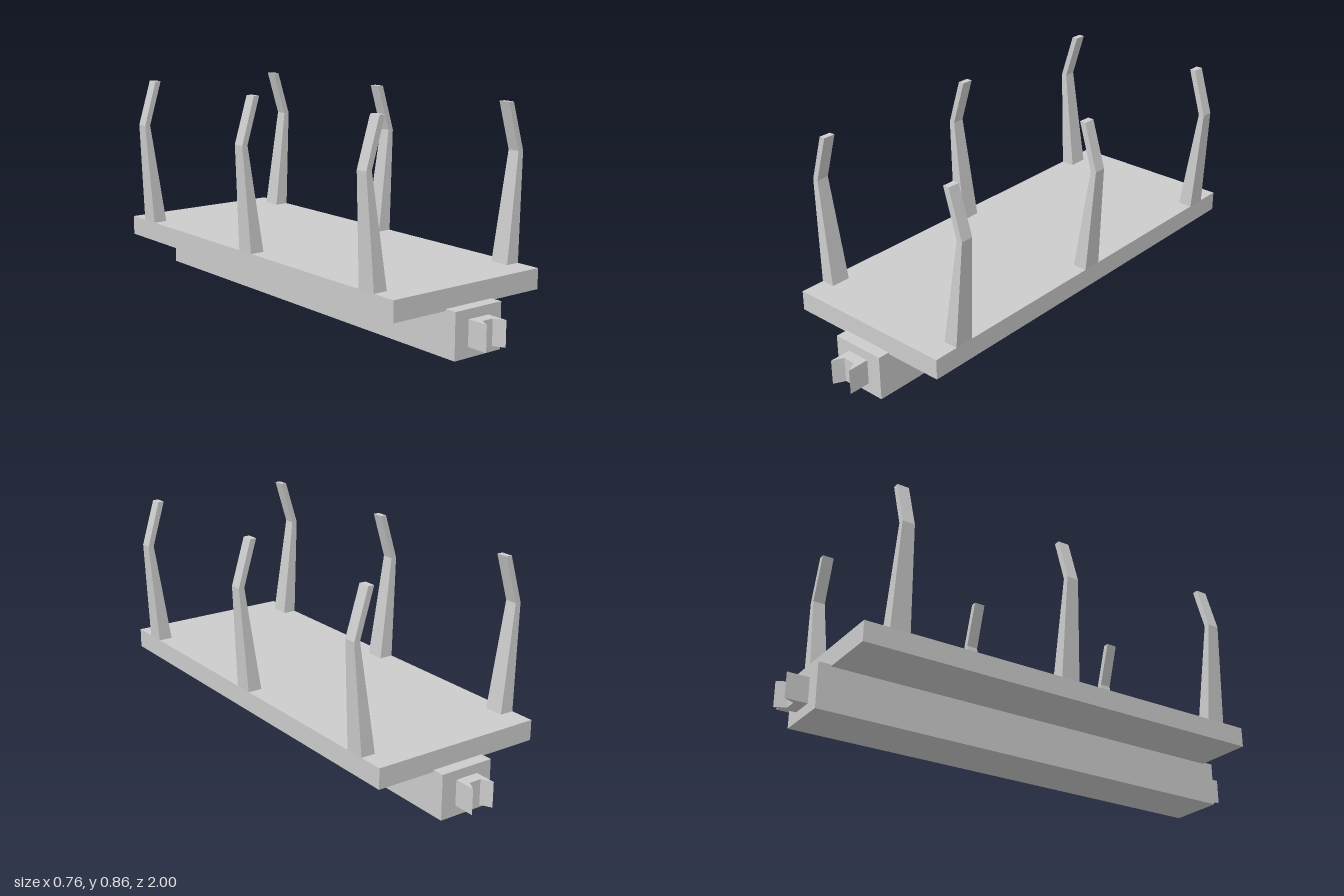
import * as THREE from 'three';

const material = new THREE.MeshStandardMaterial({ color: 0xcccccc, flatShading: true });

function addMesh(parent, name, geometry) {
  const mesh = new THREE.Mesh(geometry, material);
  mesh.name = name;
  parent.add(mesh);
  return mesh;
}

// Box given by half width, half length and its bottom and top heights
function slab(halfX, halfZ, y0, y1) {
  return new THREE.BoxGeometry(halfX * 2, y1 - y0, halfZ * 2).translate(0, (y0 + y1) / 2, 0);
}

// Tapered stake that leans out, then bends inward
function stakeGeometry() {
  const rings = [
    { y: 0.25, inner: 0.295, outer: 0.353, halfZ: 0.04 },
    { y: 0.67, inner: 0.354, outer: 0.378, halfZ: 0.025 },
    { y: 0.855, inner: 0.297, outer: 0.322, halfZ: 0.024 },
  ];
  const geometry = new THREE.BoxGeometry(2, 2, 2, 1, 2, 1);
  const p = geometry.attributes.position;
  for (let i = 0; i < p.count; i++) {
    const r = rings[Math.round(p.getY(i)) + 1];
    p.setXYZ(i, p.getX(i) > 0 ? r.outer : r.inner, r.y, p.getZ(i) * r.halfZ);
  }
  geometry.computeVertexNormals();
  return geometry;
}

// Coupler block with a flared notch in its end
function couplerGeometry() {
  const outline = [
    [-0.048, 0.9], [0.048, 0.9], [0.048, 1], [0.025, 0.957], [-0.025, 0.957], [-0.048, 1],
  ].map(([x, z]) => new THREE.Vector2(x, z));
  return new THREE.ExtrudeGeometry(new THREE.Shape(outline), { depth: 0.1, bevelEnabled: false })
    .rotateX(Math.PI / 2)
    .translate(0, 0.14, 0);
}

export function createModel() {
  const model = new THREE.Group();
  model.name = 'stakeWagon';

  addMesh(model, 'deck', slab(0.353, 0.865, 0.17, 0.25));
  addMesh(model, 'centreBeam', slab(0.112, 0.913, 0, 0.177));

  // Couplers at both ends
  const coupler = couplerGeometry();
  addMesh(model, 'frontCoupler', coupler);
  addMesh(model, 'backCoupler', coupler).rotation.y = Math.PI;

  // Three pairs of stakes along the sides
  const stake = stakeGeometry();
  for (const [place, z] of [['front', 0.725], ['middle', 0], ['back', -0.725]]) {
    addMesh(model, place + 'LeftStake', stake).position.z = z;
    const right = addMesh(model, place + 'RightStake', stake);
    right.position.z = z;
    right.rotation.y = Math.PI;
  }
  return model;
}
